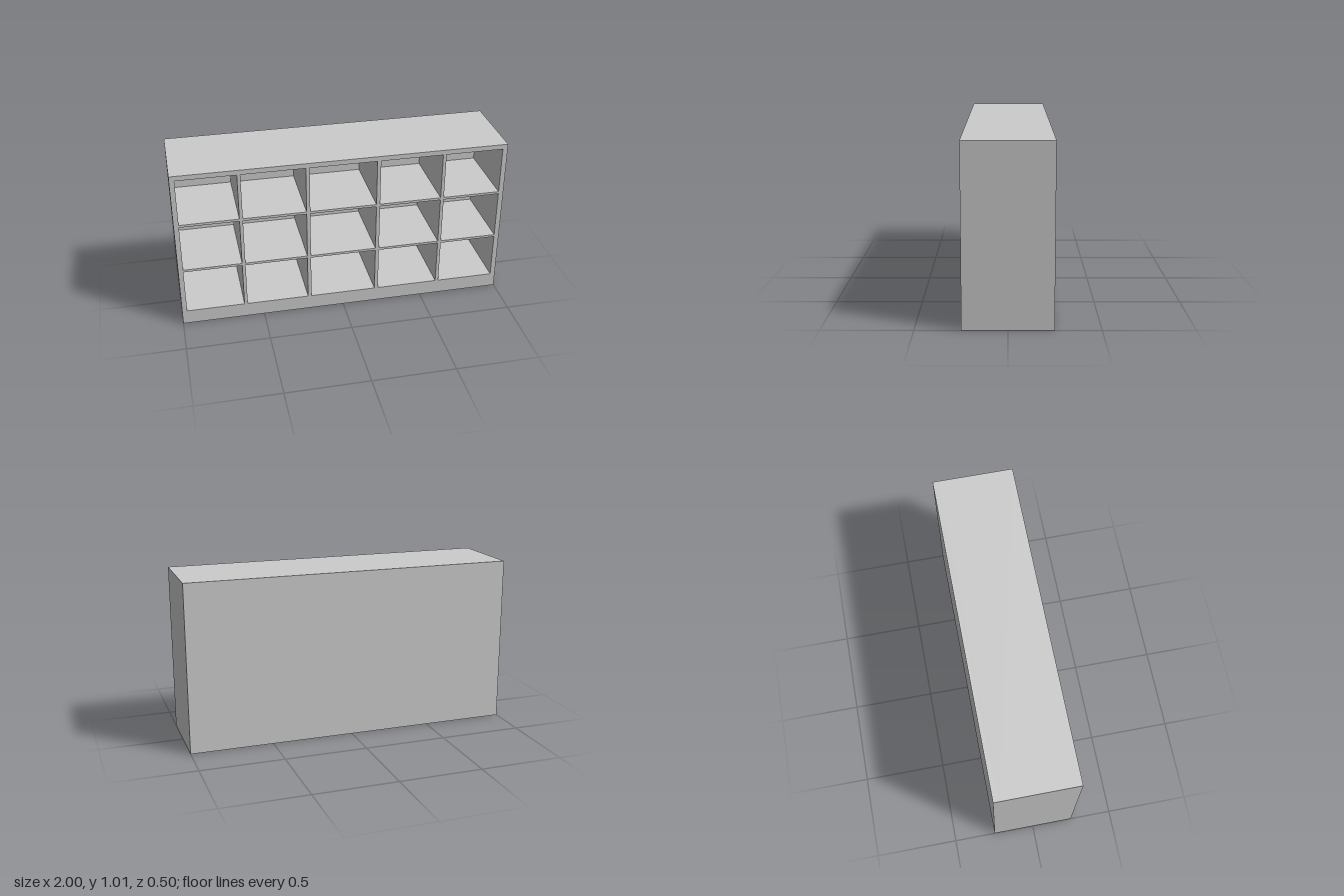
import * as THREE from 'three';

const HEIGHT = 1.015, DEPTH = 0.496, BACK = 0.035;

// Openings: [min, max] of each column (x) and row (y)
const COLUMNS = [[-0.97, -0.62], [-0.6, -0.223], [-0.201, 0.201], [0.223, 0.6], [0.62, 0.97]];
const ROWS = [[0.09, 0.372], [0.387, 0.681], [0.696, 0.985]];

const rectPoints = (x0, y0, x1, y1) => [
  new THREE.Vector2(x0, y0), new THREE.Vector2(x1, y0),
  new THREE.Vector2(x1, y1), new THREE.Vector2(x0, y1),
];

export function createModel() {
  const group = new THREE.Group();
  group.name = 'cubbyShelf';
  const material = new THREE.MeshStandardMaterial({ color: 0xcccccc });

  // Sides, top, plinth, shelves and dividers as one pierced frame
  const outline = new THREE.Shape(rectPoints(-1, 0, 1, HEIGHT));
  for (const [x0, x1] of COLUMNS) {
    for (const [y0, y1] of ROWS) {
      outline.holes.push(new THREE.Path(rectPoints(x0, y0, x1, y1)));
    }
  }
  const frame = new THREE.Mesh(
    new THREE.ExtrudeGeometry(outline, { depth: DEPTH - BACK, bevelEnabled: false }), material);
  frame.name = 'compartmentFrame';
  frame.position.z = -DEPTH / 2 + BACK;
  group.add(frame);

  // Panel closing the rear of every compartment
  const back = new THREE.Mesh(new THREE.BoxGeometry(2, HEIGHT, BACK), material);
  back.name = 'backPanel';
  back.position.set(0, HEIGHT / 2, -DEPTH / 2 + BACK / 2);
  group.add(back);

  return group;
}
